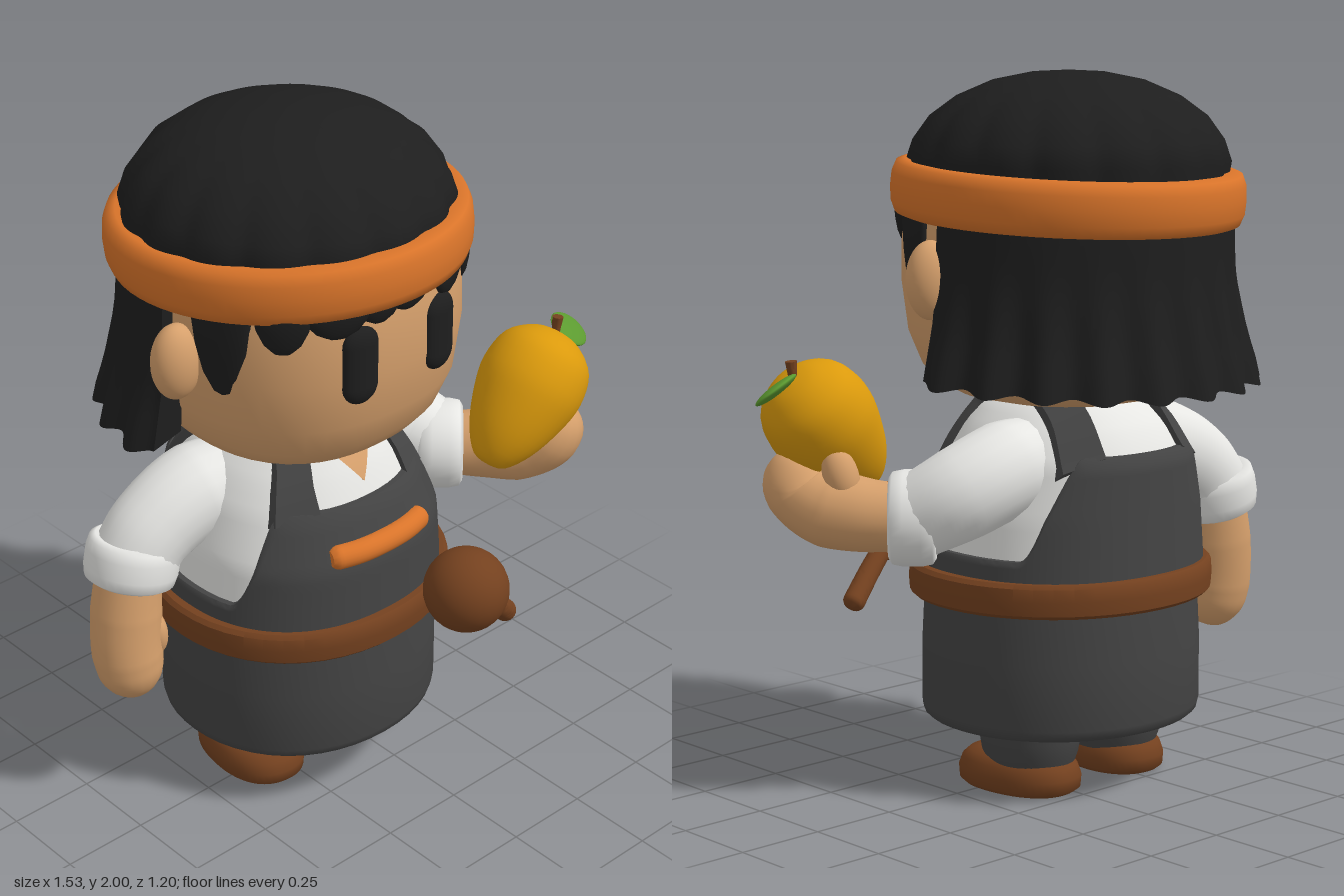
import * as THREE from 'three';
import { toCreasedNormals } from 'three/addons/utils/BufferGeometryUtils.js';

const CX = -0.12; // middle of the body
const V = (x, y, z) => new THREE.Vector3(x, y, z);
const lerp = THREE.MathUtils.lerp, smooth = THREE.MathUtils.smoothstep;
const rad = THREE.MathUtils.degToRad;

// Sample a table of rows [key, a, b, ...] sorted by key
function sample(rows, k) {
  let i = 0;
  while (i < rows.length - 2 && rows[i + 1][0] < k) i++;
  const t = THREE.MathUtils.clamp((k - rows[i][0]) / (rows[i + 1][0] - rows[i][0]), 0, 1);
  return rows[i].map((v, j) => lerp(v, rows[i + 1][j], t));
}

// Skin closed rings of points; caps fill the two ends
function loft(rings, caps = true, crease = 0.7) {
  const n = rings[0].length, pts = rings.flat(), idx = [];
  for (let i = 0; i < rings.length - 1; i++) for (let j = 0; j < n; j++) {
    const a = i * n + j, b = i * n + (j + 1) % n;
    idx.push(a, b, a + n, b, b + n, a + n);
  }
  if (caps) [0, rings.length - 1].forEach((r, end) => {
    const c = pts.length, mid = V(0, 0, 0);
    rings[r].forEach(p => mid.addScaledVector(p, 1 / n));
    pts.push(mid);
    for (let j = 0; j < n; j++) {
      const a = r * n + j, b = r * n + (j + 1) % n;
      end ? idx.push(c, a, b) : idx.push(c, b, a);
    }
  });
  const g = new THREE.BufferGeometry().setFromPoints(pts);
  g.setIndex(idx);
  return toCreasedNormals(g, crease);
}

// Superellipse radius factor and horizontal ring
const squareness = (a, e) => Math.pow(Math.pow(Math.abs(Math.sin(a)), e) + Math.pow(Math.abs(Math.cos(a)), e), -1 / e);
const around = n => Array.from({ length: n }, (_, j) => j / n * Math.PI * 2);
const ring = (y, rx, rz, cx, cz, e = 2) => around(48).map(a => {
  const k = squareness(a, e);
  return V(cx + rx * k * Math.sin(a), y, cz + rz * k * Math.cos(a));
});

// Tapered round limb along a curve, optionally with a rounded tip
function limb(points, radii, tip = 0) {
  const n = 36, curve = new THREE.CatmullRomCurve3(points.map(p => V(...p)));
  const f = curve.computeFrenetFrames(n);
  const rows = radii.map((r, i) => [i / (radii.length - 1), r]);
  return loft(Array.from({ length: n + 1 }, (_, i) => {
    const t = i / n, p = curve.getPointAt(t);
    let r = sample(rows, t)[1];
    if (tip && t > 1 - tip) r *= Math.sqrt(Math.max(0.002, 1 - ((t - 1 + tip) / tip) ** 2));
    return around(20).map(a => p.clone().addScaledVector(f.normals[i], r * Math.cos(a)).addScaledVector(f.binormals[i], r * Math.sin(a)));
  }));
}

const lathe = (pts, n = 48) => new THREE.LatheGeometry(pts.map(p => new THREE.Vector2(...p)), n);

// Torso rows: y, half width, half depth, middle z
const TORSO = [[0.55, 0.385, 0.36, -0.035], [0.8, 0.365, 0.35, -0.035], [0.95, 0.32, 0.32, -0.06],
  [1.03, 0.27, 0.275, -0.055], [1.1, 0.2, 0.215, -0.04], [1.14, 0.1, 0.1, -0.04]];
function body(y, a, off = 0) {
  const [, rx, rz, cz] = sample(TORSO, y), k = squareness(a, 2.25);
  return V(CX + (rx * k + off) * Math.sin(a), y, cz + (rz * k + off) * Math.cos(a));
}

// Head rows: y, radius
const HEAD = [[1.09, 0.2], [1.105, 0.27], [1.14, 0.335], [1.19, 0.375], [1.28, 0.41], [1.42, 0.427], [1.58, 0.425], [1.72, 0.39]];

export function createModel() {
  const model = new THREE.Group();
  const mat = (name, color) => Object.assign(new THREE.MeshStandardMaterial({ color }), { name });
  const black = mat('hair black', 0x1e1e1e), orange = mat('orange cloth', 0xd9742a);
  const skin = mat('skin', 0xd6a06c), white = mat('white cloth', 0xe6e6e3);
  const grey = mat('apron grey', 0x444444), brown = mat('brown leather', 0x74411f);
  const yellow = mat('fruit yellow', 0xdb9a0c), green = mat('leaf green', 0x5c9a30);
  grey.side = THREE.DoubleSide;
  const add = (name, geo, m, pos = [0, 0, 0]) => {
    const mesh = new THREE.Mesh(geo, m);
    mesh.name = name;
    mesh.position.set(...pos);
    model.add(mesh);
    return mesh;
  };
  const ball = (name, m, pos, scale, rot = [0, 0, 0]) => {
    const b = add(name, new THREE.SphereGeometry(1, 28, 20), m, pos);
    b.scale.set(...scale);
    b.rotation.set(...rot);
  };

  // Head, ears and eyes
  add('head', loft(HEAD.map(([y, r]) => ring(y, r, r * 1.03, CX, -0.05, 2.4)), true, 1.2), skin);
  for (const s of [-1, 1]) {
    ball('ear', skin, [CX + s * 0.45, 1.445, 0.01], [0.072, 0.108, 0.06]);
    const eye = add('eye', new THREE.CapsuleGeometry(0.054, 0.118, 8, 20), black, [CX + s * 0.138, 1.468, 0.372]);
    eye.scale.z = 0.5;
    eye.rotation.y = s * 0.12;
  }

  // Softly scalloped hair crown
  const crown = lathe([[0.43, 1.62], [0.452, 1.75], [0.432, 1.81], [0.385, 1.875], [0.31, 1.93], [0.21, 1.973], [0.1, 1.995], [0, 2]], 144);
  const cp = crown.attributes.position;
  for (let i = 0; i < cp.count; i++) {
    const x = cp.getX(i), z = cp.getZ(i), r = Math.hypot(x, z);
    const k = 1 - 0.032 * smooth(r, 0.25, 0.44) * (1 - Math.abs(Math.cos(Math.atan2(x, z) * 8)));
    cp.setX(i, x * k);
    cp.setZ(i, z * k);
  }
  crown.computeVertexNormals();
  add('hairCrown', crown, black, [CX, 0, -0.06]);

  // Long hair around the back, wavy toward the hem
  const LOCKS = [[0, 0.455], [0.2, 0.462], [0.45, 0.466], [0.75, 0.487], [0.92, 0.51], [1, 0.518]];
  const hair = [];
  for (let i = 0; i <= 144; i++) {
    const t = i / 144, a = rad(lerp(86, 274, t)), wave = Math.pow(Math.sin(t * Math.PI * 11), 2);
    const bottom = 1.18 - 0.03 * Math.sin(t * Math.PI) - 0.015 * wave;
    const at = (r, y) => V(CX + r * Math.sin(a), y, -0.06 + r * Math.cos(a));
    const loop = [];
    for (let v = 0; v <= 10; v++) {
      loop.push(at(sample(LOCKS, v / 10)[1] + 0.034 * (wave - 0.25) * smooth(v / 10, 0.2, 1), lerp(1.66, bottom, v / 10)));
    }
    loop.push(at(0.41, bottom + 0.02), at(0.4, 1.35), at(0.4, 1.66));
    hair.push(loop);
  }
  add('backHair', loft(hair), black);

  // Fringe tufts and side locks: angle, half width, lowest point
  for (const [deg, w, low] of [[66, 0.085, 1.375], [-66, 0.085, 1.375], [45, 0.075, 1.53], [-45, 0.075, 1.52],
    [25, 0.085, 1.56], [-27, 0.09, 1.555], [3, 0.08, 1.58], [-11, 0.07, 1.572]]) {
    const a = rad(deg), k = squareness(a, 2.4) * 0.42, h = 1.66 - low;
    const tuft = add('fringeTuft', lathe([[0, -h], [0.3 * w, -0.96 * h], [0.65 * w, -0.78 * h], [0.9 * w, -0.5 * h], [w, -0.25 * h], [0.9 * w, 0]], 20),
      black, [CX + k * Math.sin(a), 1.66, -0.05 + k * 1.03 * Math.cos(a)]);
    tuft.scale.z = 0.026 / w;
    tuft.rotation.y = a;
  }

  // Headband, higher at the front
  const band = add('headband', lathe([[0.41, -0.07], [0.455, -0.077], [0.48, -0.068], [0.491, -0.04], [0.494, 0], [0.491, 0.04],
    [0.48, 0.068], [0.455, 0.077], [0.41, 0.07]], 72), orange, [CX, 1.667, -0.06]);
  band.rotation.x = -0.06;

  // Shirt and open neck
  const levels = Array.from({ length: 25 }, (_, i) => lerp(0.55, 1.14, i / 24));
  add('shirt', loft(levels.map(y => around(48).map(a => body(y, a))), true, 1.2), white);
  const neck = Array.from({ length: 8 }, (_, i) => {
    const y = lerp(1.0, 1.12, i / 7), w = 0.085 * i / 7 + 0.001, hw = sample(TORSO, y)[1];
    const p = [-1, 0, 1].map(s => body(y, Math.asin(s * w / hw), 0.008));
    return [...p, p[1].clone().add(V(0, 0, -0.03))];
  });
  add('neckOpening', loft(neck), skin);

  // Apron bib wrapping the body with round armholes
  const bibTop = a => {
    const d = Math.abs(THREE.MathUtils.radToDeg(a > Math.PI ? a - 2 * Math.PI : a));
    return 0.69 + 0.27 * (1 - smooth(d, 46, 68)) + 0.28 * smooth(d, 120, 143);
  };
  const bib = [];
  for (let v = 0; v <= 16; v++) bib.push(around(180).map(a => body(lerp(0.55, bibTop(a), v / 16), a, v === 16 ? 0.016 : 0.022)));
  bib.push(around(180).map(a => body(bibTop(a), a, -0.02)));
  add('apronBib', loft(bib, false), grey);

  // Shoulder straps lying on the shirt: x, y, z, half width
  const strapPath = [[0.215, 0.935, 0.19, 0.055], [0.198, 1.0, 0.16, 0.046], [0.162, 1.085, 0.105, 0.038], [0.15, 1.115, 0.03, 0.037],
    [0.155, 1.115, -0.11, 0.038], [0.178, 1.06, -0.225, 0.045], [0.205, 0.935, -0.315, 0.055]];
  const strapCurve = new THREE.CatmullRomCurve3(strapPath.map(p => V(p[0], p[1], p[2])));
  const strapWidths = strapPath.map((p, k) => [k / 6, p[3]]);
  for (const s of [-1, 1]) {
    add('strap', loft(Array.from({ length: 31 }, (_, i) => {
      const p = strapCurve.getPoint(i / 30), t = strapCurve.getTangent(i / 30);
      const w = sample(strapWidths, i / 30)[1], out = V(0, -t.z, t.y).normalize();
      const at = (x, o) => V(CX + s * p.x + x, p.y, p.z).addScaledVector(out, o - 0.6 * s * x);
      return [at(-w, 0.026), at(w, 0.026), at(w, -0.03), at(-w, -0.03)];
    })), grey);
  }

  // Skirt of the apron, belt and pocket trim
  add('apronSkirt', loft([[0.225, 0.3], [0.21, 0.345], [0.192, 0.36], [0.189, 0.382], [0.2, 0.395], [0.22, 0.4], [0.4, 0.4], [0.6, 0.39]]
    .map(([y, r]) => ring(y, r, r * 0.94, CX, -0.035, 2.1))), grey);
  add('belt', loft([[0.54, 0.39], [0.54, 0.422], [0.55, 0.433], [0.588, 0.436], [0.624, 0.433], [0.635, 0.422], [0.637, 0.38]]
    .map(([y, r]) => ring(y, r, r * 0.94, CX, -0.033, 2.1))), brown);
  const trim = [-1, -0.5, 0, 0.5, 1].map(t => body(0.843, t * 0.455, 0.022).toArray());
  add('pocketTrim', limb(trim, [0.022, ...Array(24).fill(0.034), 0.022]), orange);

  // Legs and shoes, toes turned slightly outward
  for (const s of [-1, 1]) {
    const x = CX + s * 0.165;
    add('leg', loft([[0.07, 0.115], [0.11, 0.128], [0.15, 0.134], [0.32, 0.14]].map(([y, r]) => ring(y, r, r * 1.13, x, -0.08))), grey);
    const shoe = add('shoe', loft([[0, 0.115], [0.012, 0.126], [0.045, 0.128], [0.075, 0.12], [0.095, 0.105], [0.106, 0.08]]
      .map(([y, r]) => ring(y, r, r * 1.48, 0, 0, 2.3)), true, 0.9), brown, [CX + s * 0.176, 0, -0.05]);
    shoe.rotation.y = s * 0.12;
  }

  // Rolled sleeve cuffs
  const cuff = (pos, dir) => add('cuff', lathe([[0.08, -0.055], [0.11, -0.065], [0.126, -0.055], [0.132, -0.025], [0.132, 0.025],
    [0.126, 0.055], [0.11, 0.065], [0, 0.055]], 32), white, pos).quaternion.setFromUnitVectors(V(0, 1, 0), V(...dir).normalize());

  // Lowered right arm
  add('rightSleeve', limb([[-0.28, 0.94, -0.09], [-0.44, 0.92, -0.12], [-0.56, 0.85, -0.14], [-0.62, 0.77, -0.15]], [0.12, 0.135, 0.125, 0.118]), white);
  cuff([-0.622, 0.777, -0.15], [-0.26, -0.97, 0.05]);
  add('rightForearm', limb([[-0.635, 0.76, -0.15], [-0.655, 0.62, -0.145], [-0.665, 0.5, -0.135], [-0.655, 0.355, -0.115]], [0.09, 0.1, 0.1, 0.085], 0.24), skin);
  ball('rightThumb', skin, [-0.597, 0.545, -0.105], [0.038, 0.075, 0.05], [0, 0, 0.08]);

  // Raised left arm with cupped hand
  add('leftSleeve', limb([[0.04, 0.94, -0.09], [0.2, 0.92, -0.12], [0.32, 0.87, -0.09], [0.4, 0.805, 0.0]], [0.12, 0.135, 0.13, 0.115]), white);
  cuff([0.398, 0.803, 0.01], [0.72, 0.0, 0.68]);
  add('leftForearm', limb([[0.4, 0.805, 0.01], [0.49, 0.81, 0.11], [0.555, 0.835, 0.21], [0.59, 0.885, 0.265], [0.625, 0.985, 0.27]],
    [0.09, 0.1, 0.11, 0.1, 0.065], 0.2), skin);
  ball('leftThumb', skin, [0.545, 0.92, 0.135], [0.05, 0.085, 0.047], [0.2, 0, -0.2]);

  // Fruit with stem and leaf
  const fruit = lathe(new THREE.SplineCurve([[0, 0], [0.05, 0.012], [0.1, 0.08], [0.138, 0.18], [0.154, 0.27], [0.134, 0.36], [0.07, 0.415], [0, 0.43]]
    .map(p => new THREE.Vector2(...p))).getPoints(28).map(p => [Math.max(0, p.x), p.y]), 32);
  add('fruit', fruit, yellow, [0.337, 0.87, 0.262]).quaternion.setFromUnitVectors(V(0, 1, 0), V(0.69, 0.72, -0.05).normalize());
  add('fruitStem', limb([[0.615, 1.15, 0.245], [0.623, 1.19, 0.24], [0.628, 1.23, 0.24]], [0.011, 0.012, 0.016]), brown);
  ball('leaf', green, [0.692, 1.16, 0.225], [0.078, 0.014, 0.062], [0.6, 0.15, -0.42]);

  // Mallet hanging in front of the belt
  ball('malletHead', brown, [0.05, 0.682, 0.475], [0.12, 0.12, 0.12]);
  add('malletHandle', limb([[0.06, 0.665, 0.475], [0.17, 0.57, 0.45], [0.285, 0.465, 0.415]], [0.028, 0.031, 0.033], 0.08), brown);

  return model;
}
